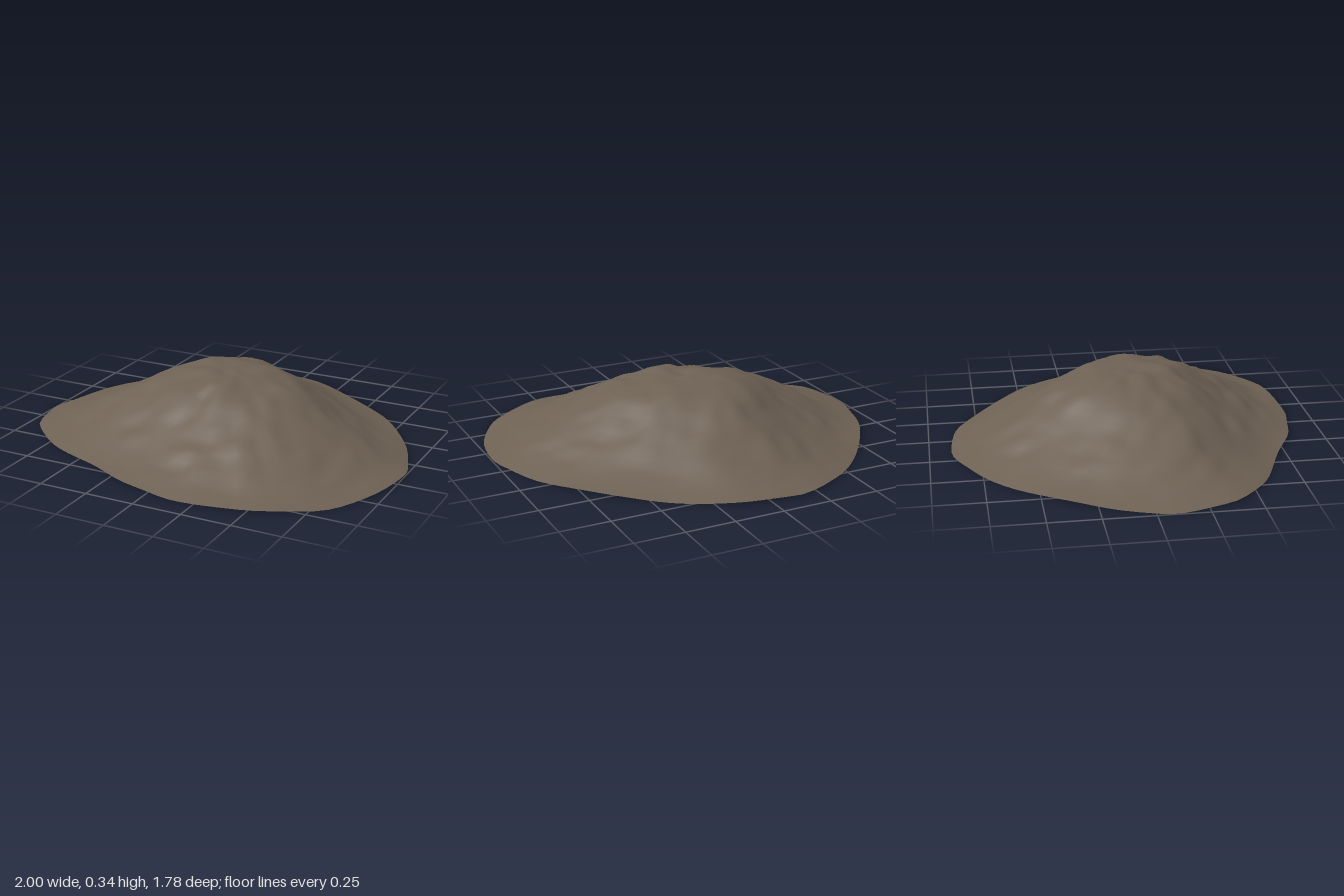
import * as THREE from 'three';

// Rim outline as x, z pairs, running from the back round by the left side
const RIM = [
  [-0.16, -0.89], [0, -0.88], [0.14, -0.85], [0.4, -0.71], [0.6, -0.55], [0.7, -0.45],
  [0.88, -0.2], [0.96, 0], [1, 0.12], [0.98, 0.33], [0.93, 0.47], [0.82, 0.66],
  [0.75, 0.72], [0.54, 0.84], [0.41, 0.87], [0.12, 0.885], [0, 0.86], [-0.18, 0.82],
  [-0.4, 0.71], [-0.68, 0.59], [-0.76, 0.54], [-0.92, 0.39], [-0.96, 0.29], [-1, 0.09],
  [-0.97, -0.03], [-0.9, -0.23], [-0.7, -0.53], [-0.5, -0.73], [-0.36, -0.82], [-0.24, -0.88],
];

// Height at even steps from the crown to the rim
const HEIGHTS = [0.345, 0.34, 0.33, 0.307, 0.272, 0.217, 0.165, 0.117, 0.07, 0.034, 0.012];

function heightAt(u) {
  const k = Math.min(Math.floor(u * 10), 9);
  return THREE.MathUtils.lerp(HEIGHTS[k], HEIGHTS[k + 1], u * 10 - k);
}

// Repeatable value noise for the lumpy soil
function hash(i, j) {
  const s = Math.sin(i * 127.1 + j * 311.7) * 43758.5453;
  return (s - Math.floor(s)) * 2 - 1;
}

function noise(x, z) {
  const i = Math.floor(x), j = Math.floor(z);
  const fx = THREE.MathUtils.smoothstep(x - i, 0, 1);
  const fz = THREE.MathUtils.smoothstep(z - j, 0, 1);
  const { lerp } = THREE.MathUtils;
  return lerp(lerp(hash(i, j), hash(i + 1, j), fx), lerp(hash(i, j + 1), hash(i + 1, j + 1), fx), fz);
}

function moundGeometry(rings, segments) {
  const curve = new THREE.CatmullRomCurve3(RIM.map(([x, z]) => new THREE.Vector3(x, 0, z)), true);
  const rim = curve.getSpacedPoints(segments).slice(0, segments);
  const positions = [0, HEIGHTS[0], 0];
  const index = [];

  // Concentric rings shrinking from the rim to the crown
  for (let r = 1; r <= rings; r++) {
    const u = r / rings;
    rim.forEach((p, s) => {
      const x = p.x * u, z = p.z * u;
      const fade = Math.min(1, (1 - u) * 5);
      const rough = z > 0.2 ? 0.014 : 0.009;
      const lumps = 0.012 * noise(x * 5, z * 5) + rough * noise(x * 13 + 7, z * 13 + 3);
      const wave = 0.006 * Math.sin(s * 0.55) * u ** 8;
      positions.push(x, Math.max(0, heightAt(u) + lumps * fade + wave - 0.006 * u ** 8), z);
    });
  }

  const at = (r, s) => 1 + (r - 1) * segments + (s % segments);
  for (let s = 0; s < segments; s++) {
    index.push(0, at(1, s + 1), at(1, s));
    for (let r = 1; r < rings; r++) {
      const a = at(r, s), b = at(r, s + 1), c = at(r + 1, s), d = at(r + 1, s + 1);
      index.push(a, b, d, a, d, c);
    }
  }

  const geometry = new THREE.BufferGeometry();
  geometry.setAttribute('position', new THREE.Float32BufferAttribute(positions, 3));
  geometry.setIndex(index);
  geometry.computeVertexNormals();
  return geometry;
}

export function createModel() {
  const group = new THREE.Group();
  group.name = 'dirtMound';

  const soil = new THREE.MeshStandardMaterial({ color: 0x6e6154, side: THREE.DoubleSide });
  soil.name = 'soil brown';

  // Open shell, hollow underneath
  const mound = new THREE.Mesh(moundGeometry(24, 84), soil);
  mound.name = 'mound';
  group.add(mound);
  return group;
}
